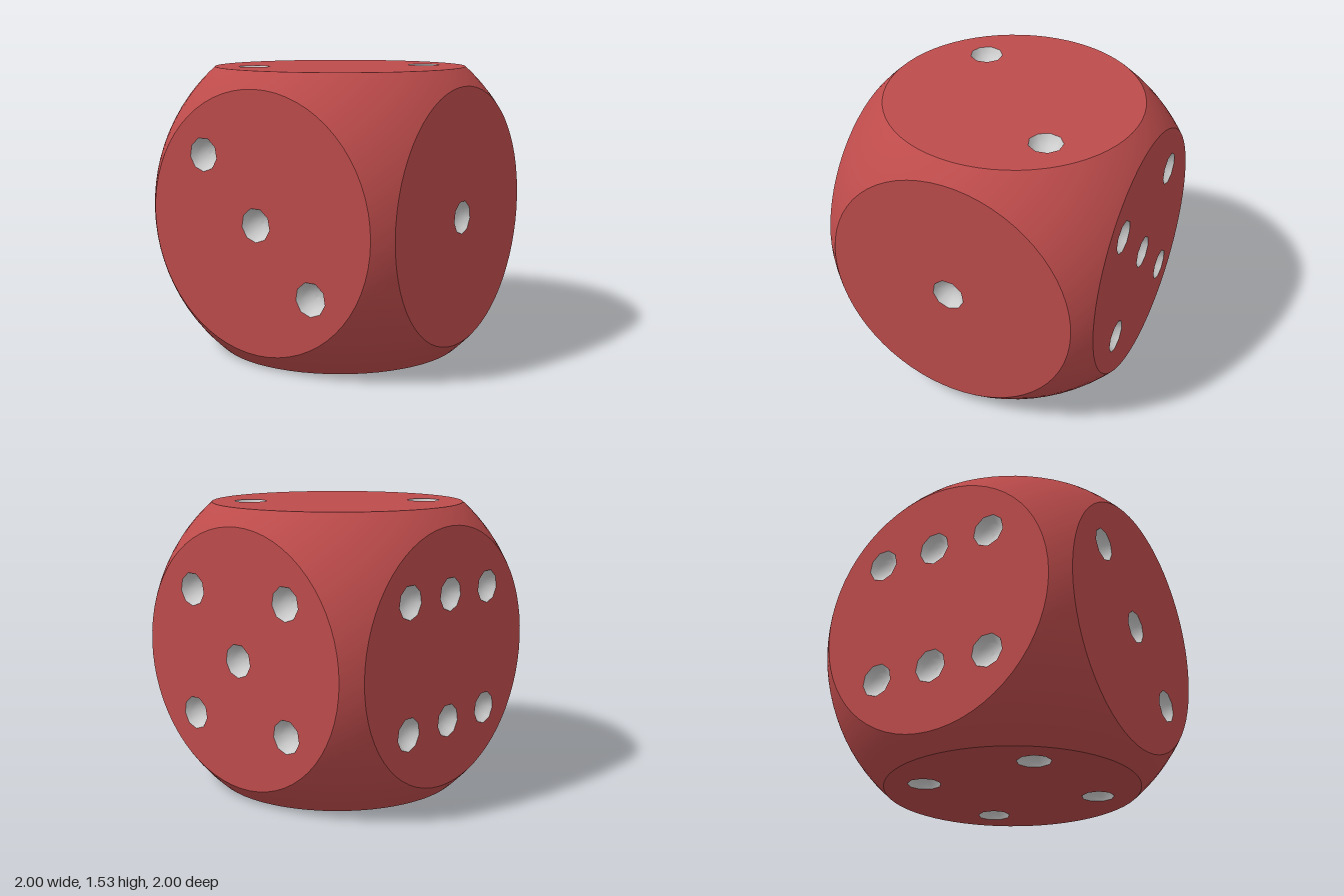
import * as THREE from 'three';

const H = 0.767;                       // half height of the cube
const R = 1.027;                       // radius of the ball that rounds the corners
const C = Math.sqrt(R * R - H * H);    // radius of each flat round face
const SEG = 64, RINGS = 10;
const A = 0.335, PIP = 0.089, DEPTH = 0.065, PIP_SEG = 9;

// Flat round face with a hole for each pip
function faceGeometry(pips) {
  const ring = (n, f) => Array.from({ length: n }, (_, i) => f((i / n) * Math.PI * 2));
  const shape = new THREE.Shape(ring(SEG, t => new THREE.Vector2(C * Math.cos(t), C * Math.sin(t))));
  for (const [u, v] of pips) {
    shape.holes.push(new THREE.Path(ring(PIP_SEG, t =>
      new THREE.Vector2(u + PIP * Math.sin(t), v - PIP * Math.cos(t)))));
  }
  return new THREE.ShapeGeometry(shape).translate(0, 0, H);
}

// Spherical patch from the round face out to the neighbouring sides
function cornerGeometry() {
  const pos = [], nor = [], idx = [];
  const inner = new THREE.Vector3(), outer = new THREE.Vector3();
  for (let j = 0; j <= SEG; j++) {
    const t = (j / SEG) * Math.PI * 2, c = Math.cos(t), s = Math.sin(t);
    const k = 1 / Math.max(Math.abs(c), Math.abs(s));
    inner.set(C * c, C * s, H).normalize();
    outer.set(c * k, s * k, 1).normalize();
    for (let i = 0; i <= RINGS; i++) {
      const n = inner.clone().lerp(outer, i / RINGS).normalize();
      nor.push(n.x, n.y, n.z);
      pos.push(n.x * R, n.y * R, n.z * R);
      if (j < SEG && i < RINGS) {
        const a = j * (RINGS + 1) + i, b = a + RINGS + 1;
        idx.push(a, a + 1, b, a + 1, b + 1, b);
      }
    }
  }
  const g = new THREE.BufferGeometry();
  g.setAttribute('position', new THREE.Float32BufferAttribute(pos, 3));
  g.setAttribute('normal', new THREE.Float32BufferAttribute(nor, 3));
  g.setIndex(idx);
  return g;
}

// Shallow spherical dent, opening towards +z
function pipGeometry() {
  const r = (PIP * PIP + DEPTH * DEPTH) / (2 * DEPTH);
  const max = Math.asin(PIP / r), pts = [];
  for (let i = 0; i <= 5; i++) {
    const a = max * (1 - i / 5);
    pts.push(new THREE.Vector2(r * Math.sin(a), r - DEPTH - r * Math.cos(a)));
  }
  return new THREE.LatheGeometry(pts, PIP_SEG).rotateX(Math.PI / 2);
}

export function createModel() {
  const red = new THREE.MeshStandardMaterial({ color: 0xbd4b4b });
  red.name = 'red';
  const white = new THREE.MeshStandardMaterial({ color: 0xcccccc });
  white.name = 'white';

  const model = new THREE.Group();
  model.name = 'die';
  const body = new THREE.Group();
  body.name = 'body';
  body.position.y = H;
  body.rotation.y = THREE.MathUtils.degToRad(-28.3);
  model.add(body);

  const one = [[0, 0]];
  const two = [[A, A], [-A, -A]];
  const three = [[-A, A], [0, 0], [A, -A]];
  const four = [[A, A], [-A, -A], [-A, A], [A, -A]];
  const five = [...four, ...one];
  const six = [...four, [0, A], [0, -A]];
  const q = Math.PI / 2;
  const sides = [
    ['front', three, 0, 0], ['left', one, 0, q], ['back', five, 0, 2 * q],
    ['right', six, 0, -q], ['top', two, -q, 0], ['bottom', four, q, 0],
  ];

  const corner = cornerGeometry(), dent = pipGeometry();
  for (const [name, pips, rx, ry] of sides) {
    const side = new THREE.Group();
    side.name = name + 'Side';
    side.rotation.set(rx, ry, 0);
    const add = (geometry, material, part) => {
      const mesh = new THREE.Mesh(geometry, material);
      mesh.name = name + part;
      side.add(mesh);
      return mesh;
    };
    add(faceGeometry(pips), red, 'Face');
    add(corner, red, 'RoundedCorners');
    for (const [u, v] of pips) add(dent, white, 'Pip').position.set(u, v, H);
    body.add(side);
  }
  return model;
}
